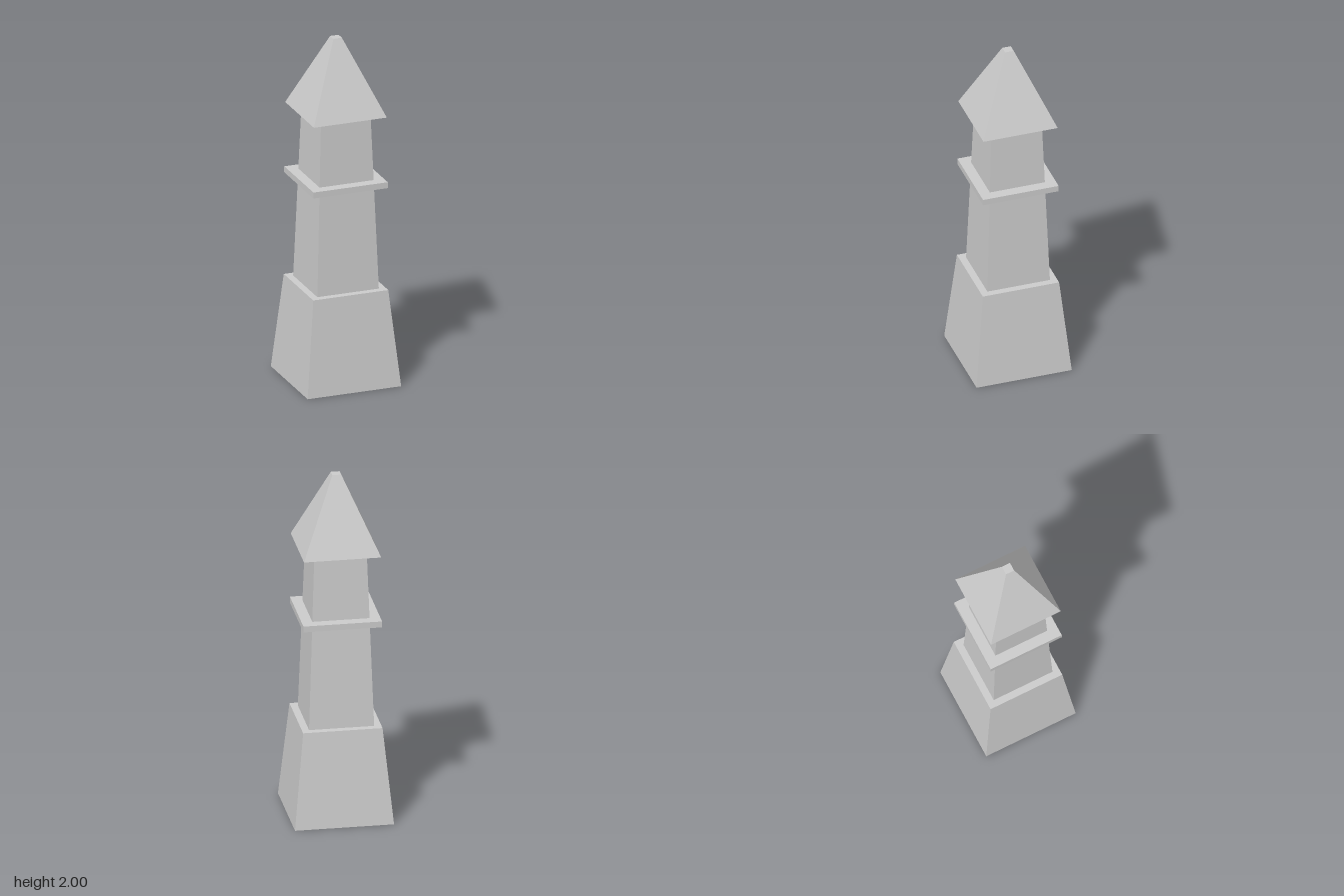
import * as THREE from 'three';

const material = new THREE.MeshStandardMaterial({ color: 0xcccccc, flatShading: true });

// Square tapered block between two heights, given its half-widths
function taperedBlock(name, y0, y1, half0, half1) {
  const geometry = new THREE.CylinderGeometry(half1 * Math.SQRT2, half0 * Math.SQRT2, y1 - y0, 4);
  geometry.rotateY(Math.PI / 4);
  geometry.translate(0, (y0 + y1) / 2, 0);
  const mesh = new THREE.Mesh(geometry, material);
  mesh.name = name;
  return mesh;
}

export function createModel() {
  const tower = new THREE.Group();
  tower.name = 'tower';
  tower.add(
    taperedBlock('base', 0, 0.555, 0.277, 0.222),
    taperedBlock('shaft', 0.555, 1.57, 0.182, 0.147),
    taperedBlock('ledge', 1.155, 1.19, 0.22, 0.22),
    taperedBlock('roof', 1.57, 2, 0.216, 0.025),
  );
  return tower;
}
